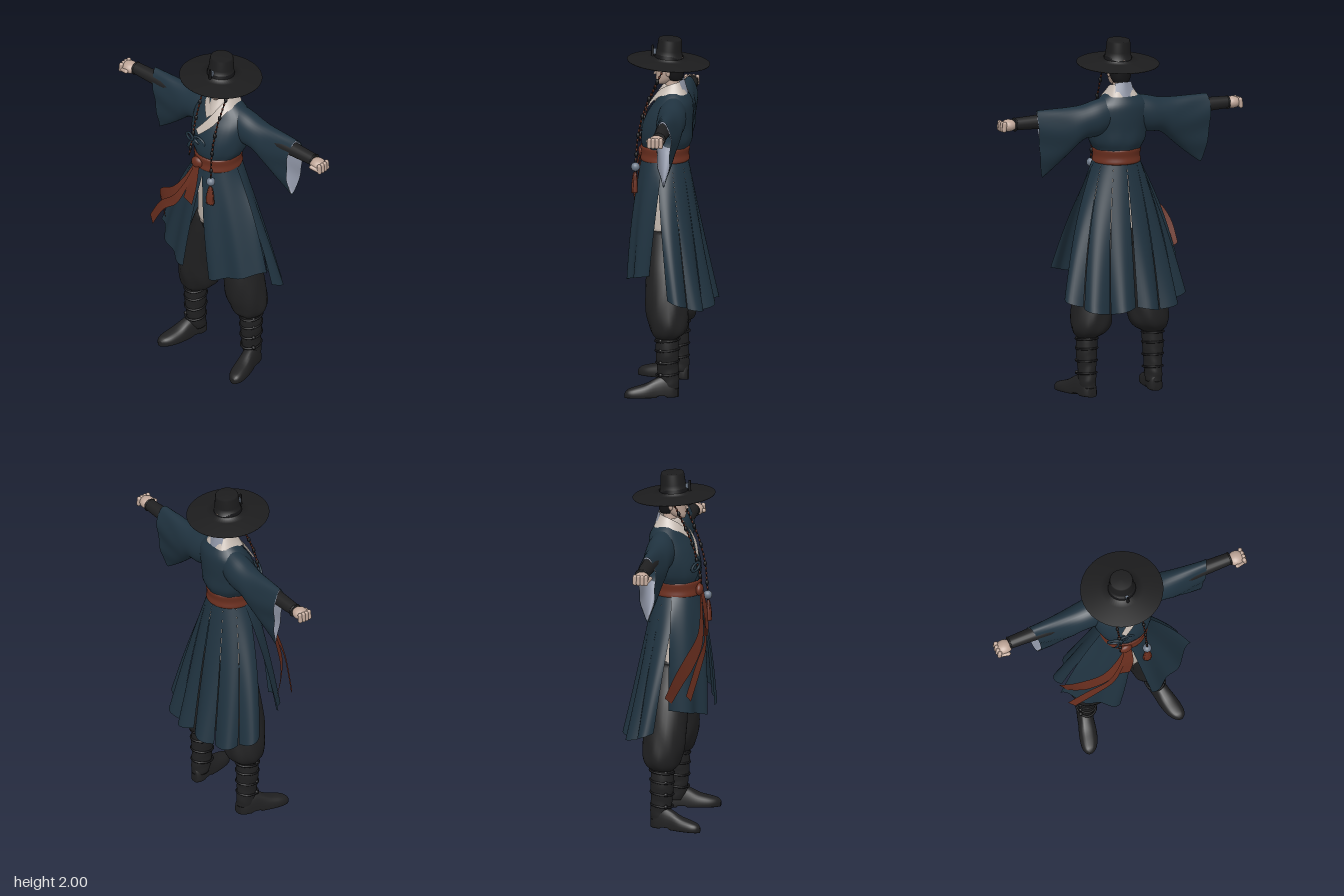
import * as THREE from 'three';

const mat = (name, color) => Object.assign(new THREE.MeshStandardMaterial({ color, side: THREE.DoubleSide }), { name });
const M = {
  coat: mat('dark teal cloth', 0x203340),
  black: mat('black cloth', 0x202021),
  hat: mat('hat black', 0x1c1c1d),
  hair: mat('hair black', 0x151517),
  rust: mat('rust sash', 0x6b2f1f),
  skin: mat('skin', 0xbfa698),
  white: mat('pale collar', 0xc4b9b0),
  lining: mat('grey lining', 0x8d93a3),
  silver: mat('blue grey ornament', 0x6c7888),
};

// Smooth interpolation through rows of numbers, t in 0..1
function rowAt(rows, t) {
  const n = rows.length - 1, i = Math.min(Math.floor(t * n), n - 1), f = t * n - i;
  const [p, a, b, q] = [rows[Math.max(i - 1, 0)], rows[i], rows[i + 1], rows[Math.min(i + 2, n)]];
  return a.map((_, k) => {
    const m0 = (b[k] - p[k]) / 2, m1 = (q[k] - a[k]) / 2, d = b[k] - a[k];
    return a[k] + f * (m0 + f * (3 * d - 2 * m0 - m1 + f * (m0 + m1 - 2 * d)));
  });
}

// Surface from f(u, v); wrap closes it in u, caps close both ends
function grid(f, nu, nv, wrap = false, caps = false) {
  const c = wrap ? nu : nu + 1, pos = [], idx = [];
  for (let j = 0; j <= nv; j++) for (let i = 0; i < c; i++) pos.push(...f(i / nu, j / nv));
  for (let j = 0; j < nv; j++) for (let i = 0; i < nu; i++) {
    const a = j * c + i, b = j * c + (i + 1) % c;
    idx.push(a, a + c, b, b, a + c, b + c);
  }
  if (caps) [0, nv].forEach((j) => {
    const m = [0, 0, 0], n = pos.length / 3;
    for (let i = 0; i < c; i++) for (let k = 0; k < 3; k++) m[k] += pos[(j * c + i) * 3 + k] / c;
    pos.push(...m);
    for (let i = 0; i < c; i++) {
      const a = j * c + i, b = j * c + (i + 1) % c;
      idx.push(n, j ? b : a, j ? a : b);
    }
  });
  const g = new THREE.BufferGeometry();
  g.setAttribute('position', new THREE.Float32BufferAttribute(pos, 3));
  g.setIndex(idx);
  g.computeVertexNormals();
  return g;
}

// Stacked ellipses, rows of [y, cx, cz, rx, rz] from low to high, with optional ripple
const loft = (rows, ripple = () => 0, nu = 32) => grid((u, v) => {
  const [y, cx, cz, rx, rz] = rowAt(rows, v), a = u * Math.PI * 2, k = 1 + ripple(a, y);
  return [cx + Math.cos(a) * rx * k, y, cz + Math.sin(a) * rz * k];
}, nu, (rows.length - 1) * 4, true, true);

// Strip of cloth between two edge paths
const strip = (A, B) => grid((u, v) => {
  const a = rowAt(A, v), b = rowAt(B, v);
  return a.map((x, k) => x + (b[k] - x) * u);
}, 4, 24);

export function createModel() {
  const root = new THREE.Group();
  root.name = 'swordsman';
  const add = (name, geo, m, p = [0, 0, 0], r = [0, 0, 0], s = [1, 1, 1]) => {
    const mesh = new THREE.Mesh(geo, m);
    mesh.name = name;
    mesh.position.set(...p); mesh.rotation.set(...r); mesh.scale.set(...s);
    root.add(mesh);
    return mesh;
  };
  // Adds a part on the left (+x) and its mirror image on the right
  const pair = (name, ...rest) => {
    const left = add('left' + name, ...rest);
    left.updateMatrix();
    const g = left.geometry.clone().applyMatrix4(left.matrix).scale(-1, 1, 1), ix = g.index.array;
    for (let i = 0; i < ix.length; i += 3) [ix[i], ix[i + 1]] = [ix[i + 1], ix[i]];
    add('right' + name, g, left.material);
  };
  const { sin, cos, PI } = Math;

  // Head, hair and face
  add('neck', new THREE.CylinderGeometry(0.036, 0.045, 0.14, 20), M.skin, [0, 1.71, 0.005]);
  add('head', loft([[1.737, 0, 0.068, 0.018, 0.02], [1.757, 0, 0.05, 0.038, 0.045], [1.79, 0, 0.033, 0.052, 0.062],
    [1.84, 0, 0.026, 0.059, 0.073], [1.89, 0, 0.02, 0.058, 0.072]]), M.skin);
  add('hair', loft([[1.765, 0, -0.014, 0.045, 0.038], [1.79, 0, -0.008, 0.058, 0.05], [1.84, 0, -0.004, 0.066, 0.058],
    [1.885, 0, 0.005, 0.067, 0.064]]), M.hair);
  add('headband', loft([[1.853, 0, 0.024, 0.063, 0.077], [1.885, 0, 0.02, 0.064, 0.078]]), M.hair);
  add('nose', new THREE.ConeGeometry(0.009, 0.035, 8), M.skin, [0, 1.808, 0.099], [-0.2, 0, 0]);
  add('mouth', new THREE.BoxGeometry(0.022, 0.004, 0.006), M.rust, [0, 1.775, 0.095]);
  pair('Eye', new THREE.BoxGeometry(0.022, 0.007, 0.006), M.hair, [0.025, 1.826, 0.092], [0, 0.35, 0.1]);
  pair('Brow', new THREE.BoxGeometry(0.026, 0.005, 0.006), M.hair, [0.026, 1.842, 0.092], [0, 0.35, 0.18]);
  pair('Ear', new THREE.SphereGeometry(0.016, 10, 8), M.skin, [0.06, 1.81, 0.02], [0, 0, 0], [0.5, 1.2, 0.8]);

  // Wide brimmed hat, tipped slightly back
  const profile = [[0, -0.004], [0.12, -0.004], [0.229, -0.012], [0.231, -0.007], [0.12, 0.01], [0.076, 0.016],
    [0.07, 0.06], [0.065, 0.116], [0.061, 0.124], [0, 0.125]].map((p) => new THREE.Vector2(...p));
  add('hat', new THREE.LatheGeometry(profile, 48), M.hat, [0, 1.873, 0.025], [-0.07, 0, 0]);
  add('hatBand', new THREE.CylinderGeometry(0.074, 0.078, 0.022, 40, 1, true), M.hair, [0, 1.898, 0.025], [-0.07, 0, 0]);
  add('hatOrnament', new THREE.BoxGeometry(0.018, 0.03, 0.014), M.silver, [0, 1.922, 0.101]);
  add('hatPin', new THREE.CylinderGeometry(0.006, 0.009, 0.06, 8), M.hair, [0, 1.925, 0.115]);

  // Beaded hat strings
  [1, -1].forEach((s) => {
    const end = s > 0 ? 1.29 : 1.38;
    const path = new THREE.CatmullRomCurve3([[0.088, 1.865, 0.03], [0.082, 1.75, 0.085], [0.076, 1.6, 0.15],
      [0.076, 1.46, 0.185], [0.08, end, 0.2]].map(([x, y, z]) => new THREE.Vector3(x * s, y, z)));
    add('hatString', new THREE.TubeGeometry(path, 40, 0.004, 6), M.hair);
    for (let i = 1; i < 22; i++) {
      add('stringBead', new THREE.SphereGeometry(i % 4 ? 0.006 : 0.01, 8, 6), i % 4 ? M.rust : M.hair,
        path.getPointAt(i / 22).toArray(), [0, 0, 0], [1, 1.6, 1]);
    }
  });

  // Jacket and crossed collar
  add('jacket', loft([[1.32, 0, 0.045, 0.122, 0.12], [1.38, 0, 0.042, 0.132, 0.13], [1.43, 0, 0.037, 0.158, 0.143],
    [1.5, 0, 0.032, 0.172, 0.14], [1.58, 0, 0.014, 0.178, 0.126], [1.64, 0, -0.004, 0.165, 0.103],
    [1.685, 0, -0.006, 0.115, 0.078], [1.715, 0, -0.003, 0.066, 0.06]],
  (a, y) => 0.018 * sin(9 * a + 12 * y) * Math.max(0, 1 - Math.abs(y - 1.42) / 0.1)), M.coat);
  add('innerCollar', loft([[1.64, 0, 0.025, 0.04, 0.088], [1.68, 0, 0.018, 0.058, 0.076], [1.735, 0, 0.004, 0.052, 0.052]]), M.white);
  add('leftCollar', strip(
    [[0, 1.765, -0.058], [0.045, 1.758, -0.035], [0.06, 1.745, 0.01], [0.042, 1.71, 0.07], [0, 1.63, 0.13], [-0.06, 1.55, 0.166]],
    [[0, 1.69, -0.082], [0.07, 1.69, -0.07], [0.094, 1.695, 0], [0.082, 1.675, 0.075], [0.04, 1.6, 0.142], [-0.035, 1.525, 0.176]]), M.white);
  add('rightCollar', strip(
    [[0, 1.765, -0.058], [-0.045, 1.758, -0.035], [-0.06, 1.745, 0.01], [-0.042, 1.71, 0.068], [0.005, 1.645, 0.115]],
    [[0, 1.69, -0.082], [-0.07, 1.69, -0.07], [-0.094, 1.695, 0], [-0.078, 1.675, 0.07], [-0.02, 1.62, 0.126]]), M.white);
  add('backCollar', strip([[-0.05, 1.765, -0.04], [0, 1.77, -0.062], [0.05, 1.765, -0.04]],
    [[-0.06, 1.69, -0.07], [0, 1.69, -0.084], [0.06, 1.69, -0.07]]), M.lining);

  // Chest tie
  [[-0.1, 0.3], [-0.03, -0.2]].forEach(([x, r]) =>
    add('chestBow', new THREE.TorusGeometry(0.028, 0.009, 8, 20), M.coat, [x, 1.485, 0.172], [0, x < -0.05 ? -0.4 : 0, r], [1.3, 0.7, 0.8]));
  add('chestTieTail', strip([[-0.07, 1.49, 0.18], [-0.1, 1.45, 0.184], [-0.125, 1.41, 0.17]],
    [[-0.05, 1.48, 0.182], [-0.07, 1.44, 0.188], [-0.09, 1.4, 0.182]]), M.coat);

  // Wide sleeves with drooping openings: rows of [x, top, bottom, half thickness]
  const sleeve = [[0.08, 1.69, 1.5, 0.07], [0.16, 1.675, 1.47, 0.08], [0.24, 1.655, 1.46, 0.076], [0.32, 1.65, 1.4, 0.07],
    [0.42, 1.65, 1.33, 0.066], [0.525, 1.65, 1.265, 0.062]];
  const sleeveGeo = (k, from) => grid((u, v) => {
    const [x, top, bot, th] = rowAt(sleeve, from + (1 - from) * v), a = u * PI * 2, t = (1 - cos(a)) / 2;
    const side = -sin(a), open = Math.max(0, (x - 0.3) / 0.22);
    const thin = 1 - t * 0.6 * open + 0.08 * open * sin(t * 14 + x * 20);
    return [x - open * t * 0.035 - open * side * 0.02, (top + bot) / 2 + cos(a) * (top - bot) / 2 * k, -0.015 + side * th * thin * k];
  }, 36, 24, true);
  pair('Sleeve', sleeveGeo(1, 0), M.coat);
  pair('SleeveLining', sleeveGeo(0.95, 0.5), M.lining);

  // Forearms and fists
  pair('Forearm', new THREE.CylinderGeometry(0.034, 0.046, 0.32, 20), M.black, [0.505, 1.585, -0.012], [0, 0, -PI / 2]);
  pair('Cuff', new THREE.TorusGeometry(0.034, 0.005, 8, 20), M.black, [0.66, 1.583, -0.012], [0, PI / 2, 0]);
  pair('Palm', new THREE.SphereGeometry(0.045, 16, 12), M.skin, [0.695, 1.58, -0.003], [0, 0, 0], [1.05, 0.75, 0.95]);
  for (let i = 0; i < 4; i++) {
    pair('Finger', new THREE.CapsuleGeometry(0.0125, 0.036, 4, 10), M.skin, [0.738 - Math.abs(i - 1.5) * 0.003, 1.578, 0.03 - i * 0.021], [0, 0, 0.1]);
  }
  pair('Thumb', new THREE.CapsuleGeometry(0.012, 0.045, 4, 10), M.skin, [0.706, 1.572, 0.037], [0, 0.3, 1.3]);

  // Under robe, then long pleated coat tails
  add('underRobe', loft([[0.9, 0, 0.035, 0.13, 0.105], [1.1, 0, 0.04, 0.125, 0.108], [1.32, 0, 0.045, 0.115, 0.112]]), M.white);
  const deg = PI / 180;
  // Back panels: waist angles, hem angles (from straight back) and hem heights
  [[0, 33, 1, 26, 0.52, 0.49], [33, 66, 27, 55, 0.49, 0.52], [66, 104, 56, 86, 0.53, 0.58]].forEach(([w0, w1, h0, h1, y0, y1]) =>
    pair('BackSkirtPanel', grid((u, v) => {
      const w = (w0 + (w1 - w0) * u) * deg, h = (h0 + (h1 - h0) * u) * deg;
      const fold = 0.045 * v * (sin(PI * u) - 0.6), e = v + 0.1 * sin(PI * v), rx = 0.37 + fold, rz = 0.235 + fold;
      return [sin(w) * 0.125 * (1 - e) + sin(h) * rx * e, 1.33 + (y0 + (y1 - y0) * u - 1.33) * v,
        (0.045 - cos(w) * 0.125) * (1 - v) - cos(h) * rz * v];
    }, 12, 20), M.coat));
  const hem = [[0.095, 0.635, 0.235], [0.19, 0.665, 0.215], [0.29, 0.695, 0.155], [0.39, 0.73, 0.08]];
  pair('FrontSkirtPanel', grid((u, v) => {
    const w = (-4 + 96 * u) * deg, [hx, hy, hz] = rowAt(hem, u), e = v + 0.08 * sin(PI * v) * u;
    const fold = 0.012 * v * sin(u * PI * 4);
    return [sin(w) * 0.128 * (1 - e) + hx * e + fold * 0.4, 1.33 + (hy - 1.33) * v,
      (0.045 + cos(w) * 0.128) * (1 - v) + hz * v + fold + 0.015 * sin(PI * v) * (1 - u)];
  }, 28, 20), M.coat);

  // Belt, knot and trailing sash
  add('belt', loft([[1.305, 0, 0.045, 0.131, 0.131], [1.315, 0, 0.045, 0.136, 0.137], [1.345, 0, 0.045, 0.132, 0.133],
    [1.38, 0, 0.044, 0.136, 0.138], [1.39, 0, 0.044, 0.131, 0.132]], () => 0, 40), M.rust);
  add('sashKnot', new THREE.SphereGeometry(0.035, 16, 12), M.rust, [-0.04, 1.34, 0.18], [0, 0, 0.4], [1.1, 1, 0.6]);
  add('shortSash', strip([[-0.055, 1.33, 0.19], [-0.075, 1.2, 0.215], [-0.105, 1.09, 0.218]],
    [[-0.01, 1.33, 0.195], [-0.01, 1.2, 0.22], [-0.035, 1.075, 0.228]]), M.rust);
  add('longSash', strip(
    [[-0.05, 1.34, 0.185], [-0.12, 1.21, 0.2], [-0.2, 1.11, 0.2], [-0.32, 1.02, 0.16], [-0.375, 0.92, 0.11], [-0.39, 0.8, 0.06]],
    [[-0.03, 1.3, 0.19], [-0.1, 1.15, 0.215], [-0.165, 1.04, 0.22], [-0.26, 0.94, 0.19], [-0.315, 0.87, 0.15], [-0.35, 0.76, 0.09]]), M.rust);
  add('lowerSash', strip(
    [[-0.05, 1.32, 0.19], [-0.1, 1.19, 0.22], [-0.17, 1.08, 0.235], [-0.28, 0.98, 0.215], [-0.385, 0.82, 0.18]],
    [[-0.03, 1.3, 0.195], [-0.08, 1.16, 0.225], [-0.14, 1.04, 0.24], [-0.24, 0.95, 0.235], [-0.35, 0.78, 0.2]]), M.rust);

  // Belt pendant with tassel
  add('pendantBead', new THREE.SphereGeometry(0.025, 16, 12), M.silver, [0.08, 1.275, 0.2]);
  add('tasselCord', new THREE.CylinderGeometry(0.005, 0.005, 0.1, 8), M.hair, [0.08, 1.27, 0.2]);
  add('tassel', loft([[1.13, 0.08, 0.205, 0.025, 0.018], [1.18, 0.08, 0.205, 0.022, 0.016], [1.225, 0.08, 0.203, 0.014, 0.012],
    [1.245, 0.08, 0.203, 0.007, 0.007]], (a) => 0.08 * sin(8 * a)), M.rust);

  // Baggy trousers gathered into the boots
  add('trouserSeat', loft([[0.82, 0, 0.02, 0.1, 0.09], [0.88, 0, 0.025, 0.14, 0.105], [0.94, 0, 0.03, 0.125, 0.1]]), M.black);
  pair('TrouserLeg', loft([[0.335, 0.2, 0.008, 0.058, 0.062], [0.36, 0.19, 0.002, 0.09, 0.092], [0.4, 0.18, 0, 0.112, 0.108],
    [0.47, 0.172, 0.008, 0.115, 0.118], [0.57, 0.16, 0.015, 0.108, 0.118], [0.7, 0.13, 0.02, 0.1, 0.113],
    [0.82, 0.095, 0.022, 0.088, 0.11], [0.92, 0.07, 0.025, 0.075, 0.1]],
  (a, y) => 0.035 * sin(7 * a + 22 * y) * Math.max(0, 1 - (y - 0.33) / 0.35)), M.black);

  // Tall boots, toes turned out
  pair('BootShaft', loft([[0.05, 0.205, -0.01, 0.045, 0.05], [0.1, 0.205, -0.004, 0.048, 0.058], [0.17, 0.205, 0.002, 0.05, 0.06],
    [0.25, 0.206, 0.004, 0.058, 0.064], [0.35, 0.2, 0.006, 0.057, 0.064]], (a, y) => 0.02 * sin(y * 110 + 2 * a)), M.black);
  const foot = [[-0.058, 0.024, 0.08], [-0.035, 0.042, 0.105], [0.01, 0.046, 0.125], [0.06, 0.047, 0.11],
    [0.12, 0.052, 0.078], [0.18, 0.048, 0.06], [0.215, 0.034, 0.048], [0.232, 0.014, 0.032]];
  const power = (x, p) => Math.sign(x) * Math.abs(x) ** p;
  pair('BootFoot', grid((u, v) => {
    const [z, w, h] = rowAt(foot, v), a = -u * PI * 2, s = sin(a);
    const base = z > 0.005 && z < 0.05 ? 0.012 : 0;
    return [0.213 + z * 0.24 + power(cos(a), 0.7) * w, s < 0 ? 0.02 + power(s, 0.4) * (0.02 - base) : 0.02 + s * (h - 0.02), z];
  }, 28, 28, true, true), M.black);
  [0.13, 0.2, 0.27, 0.325].forEach((y, i) => {
    pair('BootStrap', new THREE.TorusGeometry(0.057 + i * 0.002, 0.006, 8, 28), M.hair, [0.205, y, 0.003], [PI / 2 + 0.1, 0, 0], [0.95, 1.08, 1]);
    pair('BootBuckle', new THREE.SphereGeometry(0.012, 8, 6), M.hair, [0.25, y, 0.035]);
  });
  return root;
}
